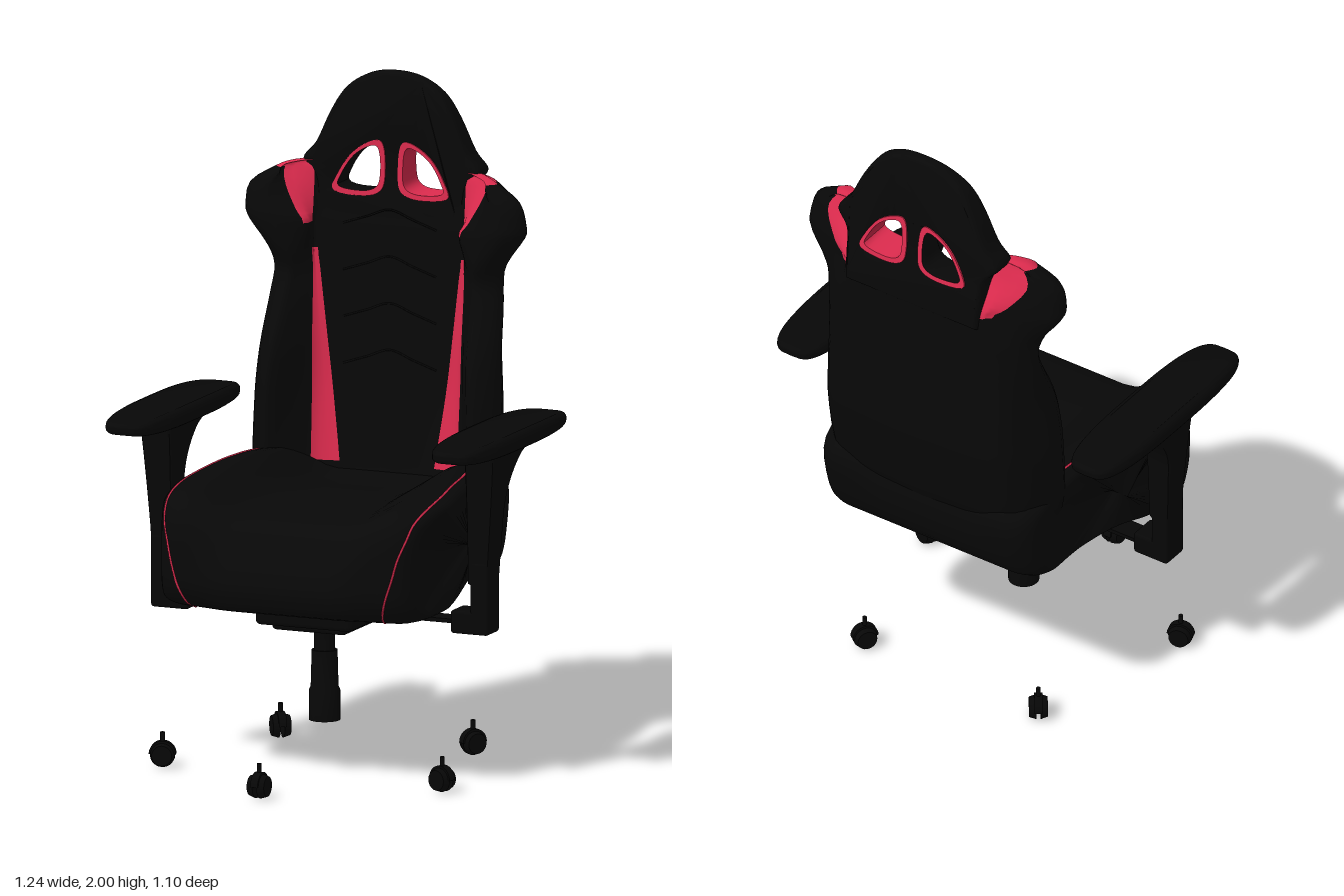
import * as THREE from 'three';
import { toCreasedNormals } from 'three/addons/utils/BufferGeometryUtils.js';
import { RoundedBoxGeometry } from 'three/addons/geometries/RoundedBoxGeometry.js';

const material = (name, color) => Object.assign(new THREE.MeshStandardMaterial({ color }), { name });

// Catmull-Rom through rows of numbers; every key row is kept
function spline(keys, sub, closed = false) {
  const n = keys.length, out = [];
  const at = i => keys[closed ? (i + n) % n : Math.min(n - 1, Math.max(0, i))];
  for (let i = 0; i < (closed ? n : n - 1); i++) {
    for (let k = 0; k < sub; k++) {
      const t = k / sub;
      out.push(at(i).map((b, c) => {
        const a = at(i - 1)[c], d = at(i + 1)[c], e = at(i + 2)[c];
        return b + 0.5 * t * (d - a + t * (2 * a - 5 * b + 4 * d - e + t * (3 * (b - d) + e - a)));
      }));
    }
  }
  if (!closed) out.push(keys[n - 1]);
  return out;
}

// Skin over closed rings; pick(row, column) gives a material index, or -1 for no face
function loft(rings, pick = () => 0) {
  const n = rings[0].length, lists = [[], []];
  for (let r = 0; r < rings.length - 1; r++) for (let c = 0; c < n; c++) {
    const m = pick(r, c);
    if (m < 0) continue;
    const a = r * n + c, b = r * n + (c + 1) % n;
    lists[m].push(a, b, a + n, b, b + n, a + n);
  }
  const geo = new THREE.BufferGeometry().setFromPoints(rings.flat());
  geo.setIndex([...lists[0], ...lists[1]]);
  geo.addGroup(0, lists[0].length, 0);
  geo.addGroup(lists[0].length, lists[1].length, 1);
  geo.computeVertexNormals();
  return geo;
}

function bend(geo, rule) {
  const p = geo.attributes.position, v = new THREE.Vector3();
  for (let i = 0; i < p.count; i++) {
    rule(v.fromBufferAttribute(p, i));
    p.setXYZ(i, v.x, v.y, v.z);
  }
  return toCreasedNormals(geo, 0.7);
}

// Seat: side profiles (z, y) of the middle and of the bolsters
const seatMiddle = [[-0.47, 0.8], [-0.3, 0.8], [0, 0.81], [0.2, 0.8], [0.31, 0.765], [0.352, 0.7], [0.383, 0.63],
  [0.383, 0.565], [0.33, 0.513], [0.1, 0.52], [-0.1, 0.57], [-0.3, 0.57], [-0.42, 0.57], [-0.48, 0.66]];
const seatBolster = [[-0.49, 0.82], [-0.3, 0.878], [-0.1, 0.885], [0.1, 0.87], [0.27, 0.84], [0.347, 0.775], [0.36, 0.65],
  [0.348, 0.56], [0.28, 0.508], [0.1, 0.518], [-0.1, 0.57], [-0.3, 0.57], [-0.42, 0.57], [-0.48, 0.66]];
const seatWidth = [[-0.5, 0.38], [-0.26, 0.39], [-0.1, 0.415], [0.15, 0.44], [0.3, 0.427], [0.4, 0.4]];

function widthAt(z) {
  let i = 0;
  while (i < seatWidth.length - 2 && z > seatWidth[i + 1][0]) i++;
  const [a, b] = [seatWidth[i], seatWidth[i + 1]];
  return THREE.MathUtils.mapLinear(z, a[0], b[0], a[1], b[1]);
}

function seatRing(u, scale = 1) {
  const a = Math.abs(u), k = THREE.MathUtils.smoothstep(a, 0.4, 0.78);
  const e = Math.min(1, Math.max(0, (a - 0.76) / 0.24));
  const s = scale * (1 - 0.18 * (1 - Math.sqrt(1 - e * e)));
  const keys = seatMiddle.map((p, i) => p.map((c, j) => THREE.MathUtils.lerp(c, seatBolster[i][j], k)));
  return spline(keys, 4, true).map(([z, y]) =>
    new THREE.Vector3(u * widthAt(z), 0.69 + (y - 0.69) * s, -0.06 + (z + 0.06) * s));
}

// Backrest rows: height, half width, bolster front, middle front, back, stripe inner x, stripe outer x, seam x, rear seam x
const backRows = [
  [0.74, 0.37, -0.27, -0.4, -0.475, 0.145, 0.235, 0.28, 0.3], [0.83, 0.393, -0.26, -0.41, -0.505, 0.152, 0.235, 0.29, 0.32],
  [1.0, 0.393, -0.262, -0.425, -0.54, 0.175, 0.237, 0.29, 0.32], [1.1, 0.388, -0.268, -0.43, -0.548, 0.188, 0.239, 0.285, 0.315],
  [1.2, 0.38, -0.29, -0.43, -0.55, 0.2, 0.24, 0.28, 0.31], [1.33, 0.37, -0.35, -0.43, -0.55, 0.215, 0.242, 0.278, 0.3],
  [1.4, 0.365, -0.37, -0.43, -0.55, 0.223, 0.243, 0.275, 0.295], [1.46, 0.38, -0.35, -0.43, -0.55, 0.23, 0.245, 0.27, 0.29],
  [1.54, 0.435, -0.338, -0.43, -0.545, 0.225, 0.243, 0.252, 0.265], [1.58, 0.445, -0.338, -0.438, -0.53, 0.205, 0.243, 0.277, 0.305],
  [1.65, 0.43, -0.352, -0.445, -0.495, 0.2, 0.243, 0.315, 0.355], [1.7, 0.355, -0.382, -0.445, -0.48, 0.2, 0.243, 0.325, 0.335],
  [1.717, 0.31, -0.41, -0.45, -0.475, 0.2, 0.24, 0.28, 0.29], [1.722, 0.255, -0.44, -0.45, -0.465, 0.19, 0.21, 0.23, 0.24]];
const SUB = 3;

function backRing([y, w, zf, zc, zb, xi, xo, xr, rear]) {
  const mix = t => zc + t * (zf - zc);
  const crest = Math.max(w - 0.06, xr + 0.005);
  const rim = Math.min(0.035, (zf - zb) * 0.35);
  const half = spline([[0, zc], [xi / 2, zc], [xi, zc + 0.003], [xo, mix(0.17)], [xr, mix(0.66)], [crest, zf],
    [w, zf * 0.75 + zb * 0.25], [w - 0.02, (zf + zb) / 2 - 0.01], [rear, zb + rim], [0.22, zb + 0.01], [0, zb]], SUB);
  const other = half.slice(1, -1).reverse().map(([x, z]) => [-x, z]);
  return [...half, ...other].map(([x, z]) => new THREE.Vector3(x, y, z));
}

// Headrest: v.z from 0 (back) to 1 (front) is placed between the two faces
function placeHead(v) {
  const tip = 0.016 * Math.max(0, (v.y - 1.88) / 0.12) ** 2;
  const back = -0.55 + Math.max(0, v.y - 1.55) * 0.09 + tip;
  const front = -0.436 - 0.08 * THREE.MathUtils.clamp(v.y - 1.6, 0, 0.12) - tip;
  v.z = back + v.z * (front - back) + 0.2 * v.x * v.x * THREE.MathUtils.smoothstep(v.y, 1.55, 1.72);
}

const holeKeys = [[0.165, 1.648], [0.159, 1.685], [0.12, 1.743], [0.067, 1.775], [0.042, 1.765],
  [0.036, 1.7], [0.046, 1.656], [0.09, 1.64]];
const holePoints = (side, grow) => spline(holeKeys, 4, true).map(([x, y]) =>
  new THREE.Vector2(side * (0.1 + (x - 0.1) * (1 + grow / 0.068)), 1.705 + (y - 1.705) * (1 + grow / 0.07)));

export function createModel() {
  const chair = new THREE.Group();
  chair.name = 'racingOfficeChair';
  const black = material('blackUpholstery', 0x080808);
  const red = material('redTrim', 0xdf2c4f);
  const plastic = material('blackPlastic', 0x070707);
  const add = (name, geo, mat, x = 0, y = 0, z = 0, parent = chair) => {
    const mesh = new THREE.Mesh(geo, mat);
    mesh.name = name;
    mesh.position.set(x, y, z);
    parent.add(mesh);
    return mesh;
  };
  const tube = (pts, r) => new THREE.TubeGeometry(new THREE.CatmullRomCurve3(pts), 48, r, 6);

  // Seat cushion, closed to a point at each side
  const us = [0, 0.2, 0.4, 0.5, 0.6, 0.7, 0.76, 0.82, 0.87, 0.91, 0.94, 0.97, 0.99, 1];
  const slices = [...us.slice(1).reverse().map(u => -u), ...us].map(u => seatRing(u));
  add('seat', loft([seatRing(-1, 0), ...slices, seatRing(1, 0)]), black);

  // Backrest with red stripes and red shoulder panels
  const rows = spline(backRows, SUB);
  const columns = 20 * SUB;
  const back = loft(rows.map(backRing), (r, c) => {
    const seg = Math.floor(Math.min(c, columns - 1 - c) / SUB), key = Math.floor(r / SUB);
    if (key >= 9 && (seg < 2 || seg > 8)) return -1;
    if (key >= 11) return seg > 2 ? 1 : 0;
    if (key >= 8) return seg === 3 || seg === 8 ? 1 : 0;
    return key >= 1 && key < 7 && seg === 2 ? 1 : 0;
  });
  add('backrest', back, [black, red]);

  // Stitched chevrons on the backrest
  for (const y of [0.98, 1.12, 1.26, 1.4, 1.54]) {
    const seam = [-1, -0.5, 0, 0.5, 1].map(t => new THREE.Vector3(t * 0.15, y + 0.05 * (1 - Math.abs(t)), -0.43));
    add('chevronSeam', tube(seam, 0.003), black);
  }

  // Headrest with two openings
  const side = [[0.235, 1.5], [0.24, 1.6], [0.247, 1.67], [0.285, 1.722], [0.245, 1.775], [0.2, 1.87], [0.15, 1.945],
    [0.08, 1.988], [0, 2]];
  const outline = [...side, ...side.slice(0, -1).reverse().map(([x, y]) => [-x, y])];
  const head = new THREE.Shape(spline(outline, 5).map(p => new THREE.Vector2(...p)));
  head.holes = [1, -1].map(s => new THREE.Path(holePoints(s, 0.002)));
  const headGeo = new THREE.ExtrudeGeometry(head, { depth: 0.4, bevelThickness: 0.3, bevelSize: 0.012,
    bevelOffset: -0.012, bevelSegments: 4 });
  add('headrest', bend(headGeo.translate(0, 0, 0.3), placeHead), black);

  for (const s of [1, -1]) {
    // Red lining of the opening
    const ring = new THREE.Shape(holePoints(s, 0.017));
    ring.holes = [new THREE.Path(holePoints(s, 0))];
    const lining = new THREE.ExtrudeGeometry(ring, { depth: 1.08, bevelEnabled: false }).translate(0, 0, -0.04);
    add('openingLining', bend(lining, placeHead), red);

    // Piping along the bolster and down the front
    const path = [];
    for (let j = 4; j <= 32; j += 2) {
      const u = 0.89 + 0.05 * Math.min(1, (j - 4) / 12) - 0.23 * Math.max(0, (j - 20) / 12);
      path.push(seatRing(s * u)[j]);
    }
    add('seatPiping', tube(path, 0.0035), red);

    // Armrest: pad, flared post, sleeve and foot
    const arm = new THREE.Group();
    arm.name = s > 0 ? 'leftArmrest' : 'rightArmrest';
    chair.add(arm);
    const padPoints = [];
    for (let i = 0; i < 48; i++) {
      const a = i / 48 * Math.PI * 2, c = Math.cos(a), d = Math.sin(a);
      padPoints.push(new THREE.Vector2(0.095 * Math.sign(c) * Math.abs(c) ** 0.52, 0.368 * Math.sign(d) * Math.abs(d) ** 0.64));
    }
    const pad = new THREE.ExtrudeGeometry(new THREE.Shape(padPoints),
      { depth: 0.014, bevelThickness: 0.021, bevelSize: 0.02, bevelOffset: -0.02, bevelSegments: 4 });
    pad.rotateX(-Math.PI / 2);
    add('armPad', bend(pad, v => { v.y *= 1 - 0.4 * Math.abs(v.z / 0.37) ** 3; }), plastic, s * 0.525, 1.02, -0.042, arm);

    const post = new THREE.Shape();
    post.moveTo(-0.005, 0.6);
    post.lineTo(0.08, 0.6);
    post.quadraticCurveTo(0.082, 0.85, 0.1, 1.01);
    post.lineTo(-0.2, 1.01);
    post.bezierCurveTo(-0.09, 0.97, -0.02, 0.9, -0.015, 0.8);
    const postGeo = new THREE.ExtrudeGeometry(post, { depth: 0.046, bevelThickness: 0.012, bevelSize: 0.01,
      bevelOffset: -0.01, bevelSegments: 2 });
    postGeo.translate(0, 0, -0.023).rotateY(-Math.PI / 2);
    const flare = v => {
      const t = Math.max(0, v.y - 0.67) / 0.34;
      v.x = v.x * (1 + 0.45 * t) + s * 0.012 * t;
    };
    add('armPost', bend(postGeo, flare), plastic, s * 0.51, 0, 0, arm);
    add('armSleeve', new RoundedBoxGeometry(0.058, 0.22, 0.09, 2, 0.01), plastic, s * 0.514, 0.56, 0.037, arm);
    add('armFoot', new RoundedBoxGeometry(0.12, 0.07, 0.09, 2, 0.01), plastic, s * 0.482, 0.485, 0.037, arm);
  }

  // Crossbar, tilt mechanism and gas lift
  add('armCrossbar', new THREE.BoxGeometry(0.88, 0.012, 0.07), plastic, 0, 0.485, 0.037);
  add('tiltMechanism', new RoundedBoxGeometry(0.31, 0.12, 0.32, 2, 0.015), plastic, 0, 0.51, 0.04);
  add('tiltHousing', new RoundedBoxGeometry(0.24, 0.06, 0.24, 2, 0.015), plastic, 0, 0.46, 0.04);
  const lift = [[0, 0.15], [0.046, 0.15], [0.046, 0.24], [0.041, 0.25], [0.038, 0.36], [0.031, 0.36], [0.031, 0.45]];
  add('gasLift', toCreasedNormals(new THREE.LatheGeometry(lift.map(p => new THREE.Vector2(...p)), 32), 0.7), plastic, 0, 0, 0.04);

  // Five twin-wheel casters
  const spots = [[0, 0.51, 0], [0.45, 0.2, 1.257], [0.31, -0.335, 2.513], [-0.31, -0.335, -2.513], [-0.45, 0.2, -1.257]];
  for (const [x, z, angle] of spots) {
    const caster = new THREE.Group();
    caster.name = 'caster';
    caster.position.set(x, 0, z);
    caster.rotation.y = angle;
    chair.add(caster);
    for (const s of [1, -1]) {
      const wheel = new THREE.CylinderGeometry(s > 0 ? 0.03 : 0.037, s > 0 ? 0.037 : 0.03, 0.021, 20).rotateZ(-Math.PI / 2);
      add('wheel', wheel, plastic, s * 0.017, 0.037, 0, caster);
    }
    const hood = new THREE.CylinderGeometry(0.04, 0.04, 0.024, 20, 1, false, 0, Math.PI).rotateZ(Math.PI / 2);
    add('hood', hood, plastic, 0, 0.039, 0, caster);
    add('stem', new THREE.CylinderGeometry(0.007, 0.007, 0.05, 10), plastic, 0, 0.08, 0, caster);
  }
  return chair;
}
